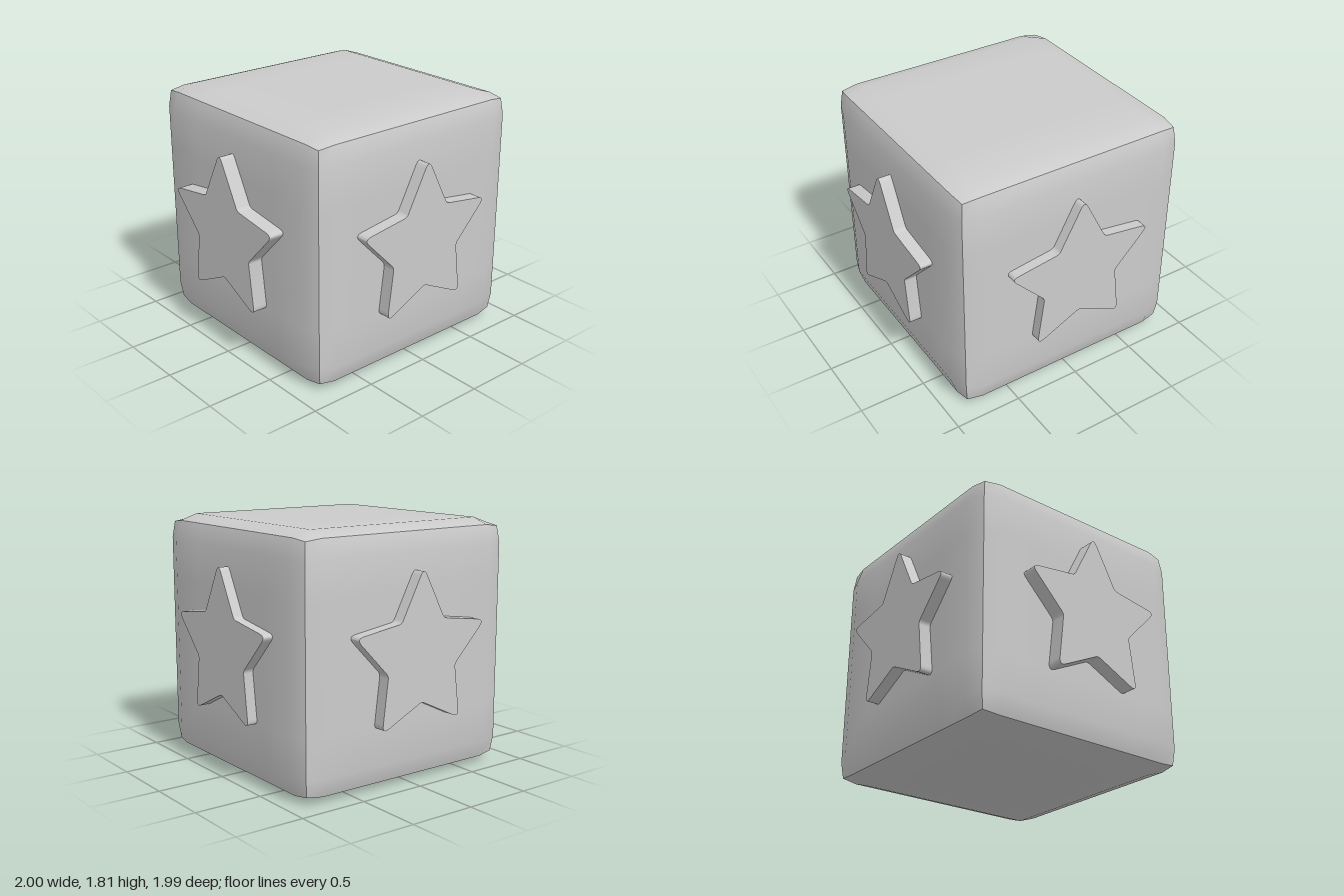
import * as THREE from 'three';
import { toCreasedNormals } from 'three/addons/utils/BufferGeometryUtils.js';

const grey = new THREE.MeshStandardMaterial({ color: 0xcccccc });

// Cube whose faces bulge slightly and drop towards crisp edges
function pillowCube() {
  const geo = new THREE.BoxGeometry(2, 2, 2, 6, 6, 6);
  const stops = [0, 0.44, 0.725]; // grid lines inside a face
  const outer = [0, 0.905, 0.86, 0.845]; // reach on a face, an edge, a corner
  const pos = geo.attributes.position;
  for (let i = 0; i < pos.count; i++) {
    const steps = [pos.getX(i), pos.getY(i), pos.getZ(i)].map((c) => Math.round(c * 3));
    const reach = outer[steps.filter((s) => Math.abs(s) === 3).length];
    const p = steps.map((s) => Math.sign(s) * (Math.abs(s) === 3 ? reach : stops[Math.abs(s)]));
    pos.setXYZ(i, ...p);
  }
  geo.computeVertexNormals(); // smooth within a face, sharp between faces
  return geo;
}

// Five-pointed star with rounded tips and inner corners
function starGeometry(depth) {
  const half = [[0.19, 1.175], [0.575, 1.12], [0.3, 0.835], [0.35, 0.44]];
  const mirrored = half.map(([x, y]) => [-x, y]).reverse();
  const pts = [[0, 1.54], ...half, [0, 0.61], ...mirrored].map((p) => new THREE.Vector2(...p));
  const shape = new THREE.Shape();
  pts.forEach((p, i) => {
    const radius = i % 2 ? 0.025 : 0.065;
    const towards = (q) => p.clone().add(q.clone().sub(p).setLength(radius));
    const a = towards(pts[(i + pts.length - 1) % pts.length]);
    const b = towards(pts[(i + 1) % pts.length]);
    if (i === 0) shape.moveTo(a.x, a.y);
    else shape.lineTo(a.x, a.y);
    shape.quadraticCurveTo(p.x, p.y, b.x, b.y);
  });
  shape.closePath();
  const geo = new THREE.ExtrudeGeometry(shape, { depth, bevelEnabled: false, curveSegments: 6 });
  return toCreasedNormals(geo, 0.7);
}

export function createModel() {
  const model = new THREE.Group();
  model.name = 'starBlock';

  const cube = new THREE.Mesh(pillowCube(), grey);
  cube.name = 'cube';
  cube.position.set(0.015, 0.91, -0.003);
  model.add(cube);

  // One raised star on each upright side
  const depth = 0.15;
  const star = starGeometry(depth);
  const reach = [0.995, 0.995, 0.998, 1];
  ['frontStar', 'leftStar', 'backStar', 'rightStar'].forEach((name, i) => {
    const mesh = new THREE.Mesh(star, grey);
    const angle = (i * Math.PI) / 2;
    const out = reach[i] - depth;
    mesh.name = name;
    mesh.rotation.y = angle;
    mesh.position.set(Math.sin(angle) * out, 0, Math.cos(angle) * out);
    if (i % 2) mesh.position.z -= 0.007;
    else mesh.position.x -= 0.005;
    model.add(mesh);
  });

  return model;
}
